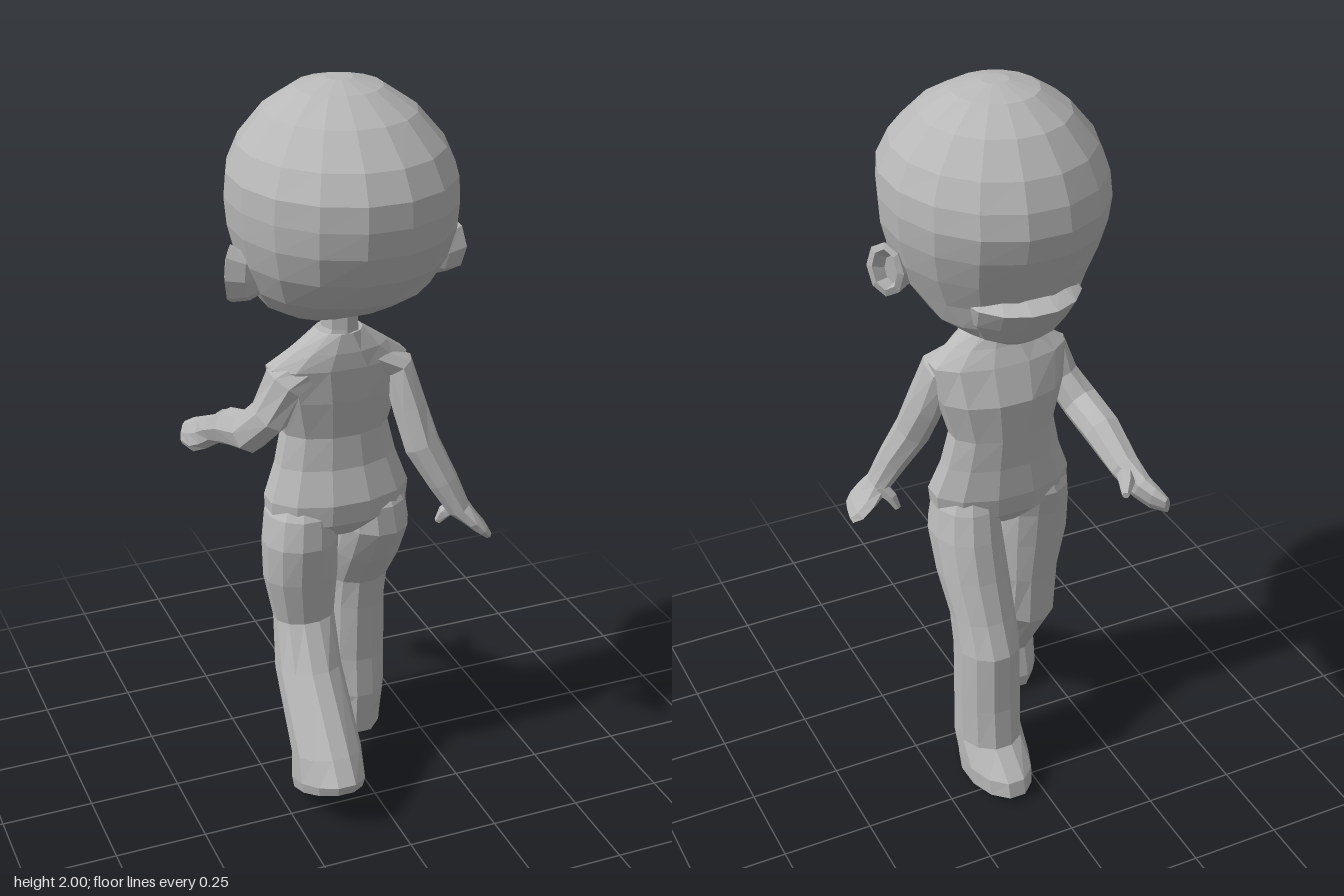
import * as THREE from 'three';

const V = (x, y, z) => new THREE.Vector3(x, y, z);
const CX = -0.025; // mirror line of the head

// Skins a closed surface over rings {c, u, v}: centre and two half-axis vectors.
function loft(rings, sides, turned = false) {
  const off = turned ? 0.5 : 0, grow = turned ? 1 / Math.cos(Math.PI / sides) : 1;
  const loops = rings.map(({ c, u, v }) => Array.from({ length: sides }, (_, i) => {
    const a = ((i + off) / sides) * Math.PI * 2;
    return c.clone().addScaledVector(u, Math.cos(a) * grow).addScaledVector(v, Math.sin(a) * grow);
  }));
  const tris = [];
  const last = rings.length - 1;
  for (let i = 0; i < sides; i++) {
    const j = (i + 1) % sides;
    for (let k = 0; k < last; k++) {
      const [a, b, c, d] = [loops[k][i], loops[k][j], loops[k + 1][j], loops[k + 1][i]];
      tris.push([a, b, c], [a, c, d]);
    }
    tris.push([rings[0].c, loops[0][j], loops[0][i]], [rings[last].c, loops[last][i], loops[last][j]]);
  }
  // turn the faces outward
  const volume = tris.reduce((s, [a, b, c]) => s + a.dot(b.clone().cross(c)), 0);
  if (volume < 0) tris.forEach((t) => t.reverse());
  const geo = new THREE.BufferGeometry().setFromPoints(tris.flat());
  geo.computeVertexNormals();
  return geo;
}

// Level or tilted body section: centre x, half width, front z and y, back z and y.
const slice = ([cx, rx, zf, yf, zb, yb = yf]) => ({
  c: V(cx, (yf + yb) / 2, (zf + zb) / 2),
  u: V(rx, 0, 0),
  v: V(0, (yb - yf) / 2, (zb - zf) / 2),
});

// Sections across a path of [x, y, z, half width, half thickness].
function limb(path, ref) {
  const pts = path.map((p) => V(p[0], p[1], p[2]));
  return path.map((p, i) => {
    const t = pts[Math.min(i + 1, pts.length - 1)].clone().sub(pts[Math.max(i - 1, 0)]).normalize();
    const u = ref.clone().addScaledVector(t, -ref.dot(t)).normalize();
    const v = t.clone().cross(u);
    return { c: pts[i], u: u.multiplyScalar(p[3]), v: v.multiplyScalar(p[4]) };
  });
}

export function createModel() {
  const group = new THREE.Group();
  const grey = new THREE.MeshStandardMaterial({ color: 0xb8b8b8, flatShading: true });
  grey.name = 'plain grey';
  const add = (name, geo) => {
    const mesh = new THREE.Mesh(geo, grey);
    mesh.name = name;
    group.add(mesh);
  };

  // head, facing -z
  add('head', loft([
    [CX, 0.035, 0.01, 2.0, 0.075], [CX, 0.11, -0.07, 1.98, 0.15], [CX, 0.19, -0.155, 1.925, 0.25],
    [CX, 0.255, -0.222, 1.845, 0.335], [CX, 0.284, -0.255, 1.775, 0.374], [CX, 0.288, -0.268, 1.71, 0.378],
    [CX, 0.283, -0.252, 1.64, 0.368], [CX, 0.264, -0.22, 1.56, 0.335], [CX, 0.23, -0.185, 1.48, 0.275],
    [CX, 0.188, -0.17, 1.415, 0.165], [CX, 0.115, -0.135, 1.365, 0.055], [CX, 0.06, -0.1, 1.35, -0.01],
  ].map(slice), 16, true));

  // protruding lower face
  add('muzzle', loft([
    [CX, 0.13, -0.175, 1.52, 0.0], [CX, 0.16, -0.25, 1.488, 0.05], [CX, 0.15, -0.208, 1.43, 0.05],
    [CX, 0.115, -0.168, 1.375, 0.02], [CX, 0.065, -0.13, 1.347, -0.02],
  ].map(slice), 14));

  // cupped ears, flared outward
  for (const s of [1, -1]) {
    const ring = (x, y, z, w, h) => ({ c: V(CX + s * x, y, z), u: V(s * w * 0.58, 0, w * 0.81), v: V(0, h, 0) });
    add(s > 0 ? 'leftEar' : 'rightEar', loft([
      ring(0.21, 1.52, 0.075, 0.025, 0.04), ring(0.255, 1.525, 0.08, 0.04, 0.062),
      ring(0.297, 1.535, 0.062, 0.056, 0.077), ring(0.301, 1.538, 0.056, 0.038, 0.058),
      ring(0.275, 1.53, 0.065, 0.025, 0.04),
    ], 8));
  }

  // neck and torso
  add('neck', loft([
    [CX, 0.052, -0.01, 1.42, 0.1], [CX, 0.05, -0.01, 1.35, 0.1], [CX, 0.08, -0.03, 1.28, 0.105],
  ].map(slice), 8));
  add('torso', loft([
    [-0.025, 0.06, -0.015, 1.34, 0.1], [-0.025, 0.13, -0.035, 1.29, 0.11], [-0.025, 0.19, -0.06, 1.245, 0.112],
    [-0.02, 0.175, -0.1, 1.15, 0.105], [-0.02, 0.145, -0.098, 1.04, 0.085], [-0.02, 0.165, -0.095, 0.95, 0.095],
    [-0.022, 0.197, -0.1, 0.86, 0.128], [-0.025, 0.193, -0.09, 0.8, 0.125], [-0.025, 0.07, -0.05, 0.75, 0.085],
  ].map(slice), 12, true));

  // legs in mid stride, each ending in its foot
  add('leftLeg', loft([
    [0.075, 0.06, -0.06, 0.88, 0.07], [0.08, 0.09, -0.092, 0.82, 0.112], [0.088, 0.096, -0.118, 0.74, 0.118],
    [0.088, 0.095, -0.15, 0.63, 0.055], [0.085, 0.087, -0.19, 0.52, -0.02], [0.084, 0.088, -0.232, 0.43, -0.03],
    [0.086, 0.09, -0.238, 0.25, -0.04], [0.087, 0.09, -0.25, 0.13, -0.035], [0.087, 0.09, -0.33, 0.065, -0.04],
    [0.087, 0.086, -0.34, 0.02, -0.045, 0],
  ].map(slice), 12, true));
  add('rightLeg', loft([
    [-0.12, 0.06, -0.06, 0.88, 0.07], [-0.13, 0.093, -0.08, 0.82, 0.118], [-0.137, 0.101, -0.06, 0.74, 0.132],
    [-0.137, 0.1, -0.045, 0.63, 0.12], [-0.128, 0.083, -0.03, 0.5, 0.1], [-0.134, 0.087, -0.015, 0.34, 0.18, 0.385],
    [-0.136, 0.09, 0.115, 0.14, 0.335, 0.205], [-0.136, 0.092, 0.093, 0.05, 0.38, 0.145],
    [-0.136, 0.086, 0.1, 0.01, 0.37, 0.115],
  ].map(slice), 12, true));

  // arms run from the shoulder into a flat, closed hand, with a separate thumb
  const arms = [
    {
      name: 'left', ref: V(0, 0, 1),
      path: [[0.06, 1.255, 0.05, 0.05, 0.03], [0.135, 1.212, 0.055, 0.063, 0.045], [0.158, 1.1, 0.09, 0.062, 0.048],
        [0.18, 1.0, 0.127, 0.055, 0.05], [0.228, 0.9, 0.16, 0.047, 0.042], [0.267, 0.82, 0.18, 0.042, 0.032],
        [0.298, 0.787, 0.184, 0.06, 0.024], [0.325, 0.757, 0.19, 0.062, 0.02], [0.344, 0.735, 0.2, 0.046, 0.012]],
      thumb: [[0.27, 0.82, 0.16, 0.026, 0.022], [0.245, 0.79, 0.138, 0.02, 0.018], [0.232, 0.758, 0.125, 0.01, 0.01]],
    },
    {
      name: 'right', ref: V(0, 1, -1),
      path: [[-0.11, 1.255, 0.05, 0.05, 0.03], [-0.185, 1.212, 0.055, 0.063, 0.045], [-0.218, 1.12, 0.04, 0.06, 0.048],
        [-0.254, 1.05, -0.02, 0.058, 0.053], [-0.264, 1.018, -0.13, 0.053, 0.053], [-0.274, 0.965, -0.24, 0.04, 0.043],
        [-0.292, 0.93, -0.3, 0.046, 0.03], [-0.312, 0.912, -0.335, 0.048, 0.023], [-0.33, 0.905, -0.372, 0.032, 0.011]],
      thumb: [[-0.27, 0.96, -0.25, 0.028, 0.028], [-0.243, 0.96, -0.305, 0.021, 0.021], [-0.215, 0.957, -0.35, 0.01, 0.01]],
    },
  ];
  for (const { name, ref, path, thumb } of arms) {
    add(name + 'Arm', loft(limb(path, ref), 8));
    add(name + 'Thumb', loft(limb(thumb, ref), 6));
  }
  return group;
}
